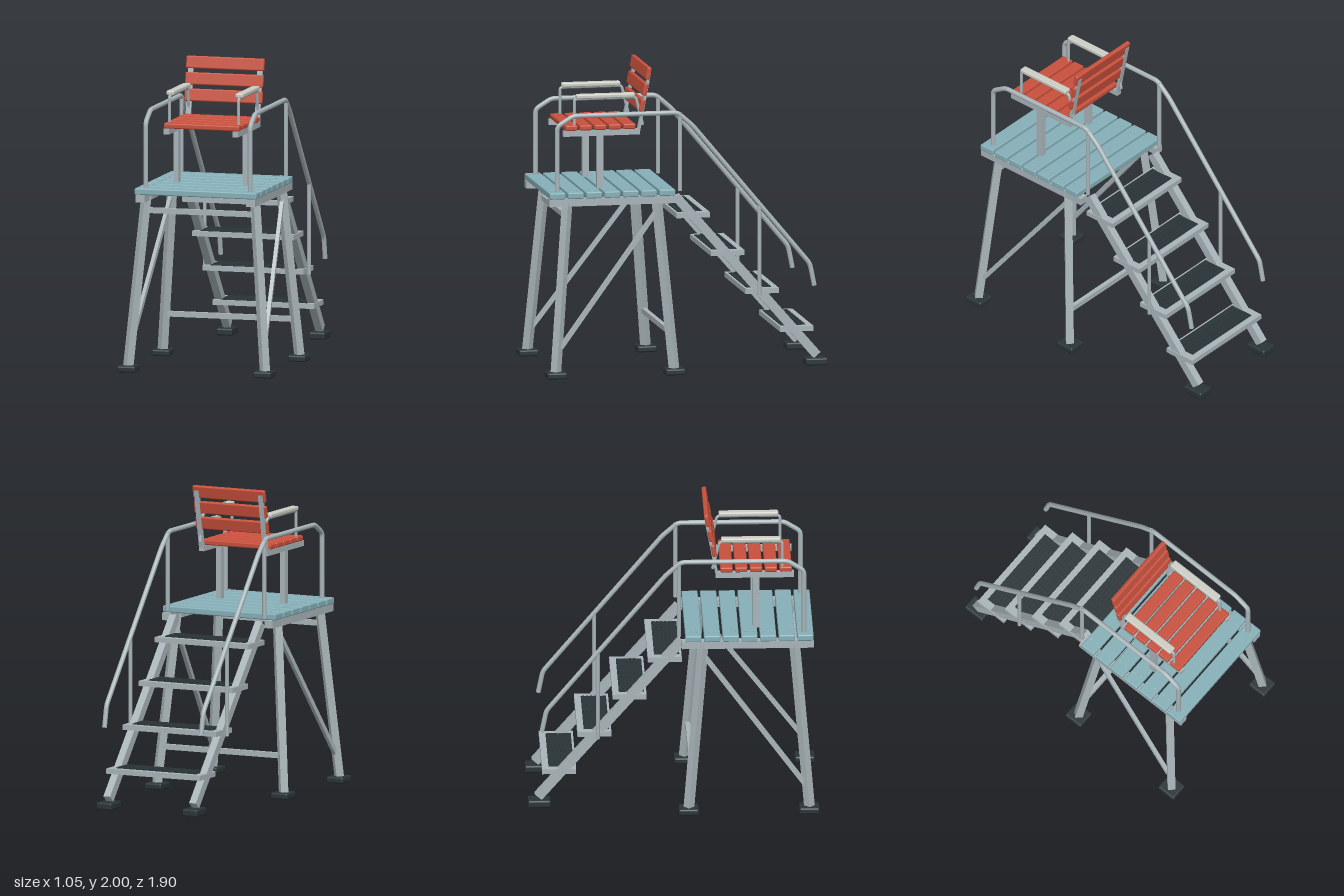
import * as THREE from 'three';
import { RoundedBoxGeometry } from 'three/addons/geometries/RoundedBoxGeometry.js';

const mat = (color) => new THREE.MeshStandardMaterial({ color });
const metal = mat(0xa9b5b9), red = mat(0xc8503c), teal = mat(0x86b0b8);
const rubber = mat(0x2a3438), padMat = mat(0xcccdc5);
const V = (x, y, z) => new THREE.Vector3(x, y, z);

export function createModel() {
  const root = new THREE.Group();
  const group = (name) => {
    const g = new THREE.Group();
    g.name = name;
    root.add(g);
    return g;
  };
  const add = (parent, name, geo, material, x = 0, y = 0, z = 0) => {
    const m = new THREE.Mesh(geo, material);
    m.name = name;
    m.position.set(x, y, z);
    parent.add(m);
    return m;
  };
  const box = (p, name, w, h, d, x, y, z, material = metal) =>
    add(p, name, new THREE.BoxGeometry(w, h, d), material, x, y, z);
  const soft = (p, name, w, h, d, x, y, z, material, r = 0.008) =>
    add(p, name, new RoundedBoxGeometry(w, h, d, 2, r), material, x, y, z);

  // Straight bar of rectangular section between two points
  const beam = (p, name, a, b, w, h) => {
    const c = a.clone().lerp(b, 0.5);
    const m = box(p, name, w, h, a.distanceTo(b), c.x, c.y, c.z);
    m.lookAt(b);
    return m;
  };

  // Bent tube through [z, y] points in the plane at x, with rounded corners and closed ends
  const pipe = (p, name, x, zy, r, bend) => {
    const pts = zy.map(([z, y]) => V(x, y, z));
    const path = new THREE.CurvePath();
    const toward = (a, b) => a.clone().add(b.clone().sub(a).setLength(bend));
    let from = pts[0];
    for (let i = 1; i < pts.length - 1; i++) {
      const start = toward(pts[i], pts[i - 1]), end = toward(pts[i], pts[i + 1]);
      path.add(new THREE.LineCurve3(from, start));
      path.add(new THREE.QuadraticBezierCurve3(start, pts[i], end));
      from = end;
    }
    path.add(new THREE.LineCurve3(from, pts.at(-1)));
    const steps = pts.length > 2 ? 140 : 1;
    add(p, name, new THREE.TubeGeometry(path, steps, r, 12, false), metal);
    for (const [end, next] of [[pts[0], pts[1]], [pts.at(-1), pts.at(-2)]]) {
      const cap = add(p, name + 'Cap', new THREE.CircleGeometry(r, 12), metal, end.x, end.y, end.z);
      cap.lookAt(end.clone().multiplyScalar(2).sub(next));
    }
  };

  // Platform planks with bolt heads, on two side beams
  const platform = group('platform');
  for (let i = 0; i < 7; i++) {
    const z = 0.861 - i * 0.1217;
    soft(platform, 'plank', 0.83, 0.042, 0.106, 0, 1.194, z, teal);
    for (const x of [-0.34, 0.34])
      for (const dz of [-0.025, 0.025])
        add(platform, 'bolt', new THREE.CylinderGeometry(0.006, 0.006, 0.008, 8), metal, x, 1.217, z + dz);
  }
  for (const s of [-1, 1]) box(platform, 'sideBeam', 0.06, 0.05, 0.86, s * 0.375, 1.148, 0.485);

  // Splayed legs, feet and diagonal braces
  const base = group('base');
  for (const s of [-1, 1]) {
    for (const [footZ, topZ] of [[0.885, 0.79], [0.098, 0.195]]) {
      beam(base, 'leg', V(s * 0.465, 0.035, footZ), V(s * 0.37, 1.15, topZ), 0.05, 0.05);
      soft(base, 'foot', 0.122, 0.042, 0.132, s * 0.463, 0.024, footZ - 0.001, rubber, 0.012);
    }
    beam(base, 'diagonalBrace', V(s * 0.452, 0.2, 0.85), V(s * 0.377, 1.08, 0.19), 0.025, 0.03);
  }
  box(base, 'frontCrossbar', 0.71, 0.035, 0.03, 0, 1.058, 0.797);
  box(base, 'backCrossbar', 0.84, 0.035, 0.03, 0, 0.28, 0.12);

  // Stairs: stringers, feet and treads with ribbed mats
  const stairs = group('stairs');
  for (const s of [-1, 1]) {
    beam(stairs, 'stringer', V(s * 0.315, 1.15, 0.055), V(s * 0.315, 0.075, -0.88), 0.05, 0.06);
    soft(stairs, 'stairFoot', 0.11, 0.048, 0.15, s * 0.315, 0.035, -0.873, rubber, 0.012);
  }
  for (let i = 0; i < 4; i++) {
    const y = 1.028 - i * 0.258, z = -0.055 - i * 0.2295;
    box(stairs, 'tread', 0.69, 0.034, 0.222, 0, y, z);
    box(stairs, 'treadMat', 0.586, 0.006, 0.165, 0, y + 0.018, z + 0.014, rubber);
    for (let k = 0; k < 5; k++)
      box(stairs, 'treadRib', 0.57, 0.006, 0.014, 0, y + 0.023, z + 0.05 - k * 0.026, rubber);
  }

  // Handrails with their posts
  const rails = group('handrails');
  for (const s of [-1, 1]) {
    const x = s * 0.355;
    pipe(rails, 'handrail', x, [[0.853, 1.2], [0.853, 1.645], [0.746, 1.712], [0.053, 1.712],
      [-0.048, 1.623], [-0.828, 0.685], [-0.857, 0.54]], 0.016, 0.025);
    pipe(rails, 'platformRailPost', x, [[0.037, 1.195], [0.037, 1.71]], 0.014, 0);
    pipe(rails, 'stairRailPost', x, [[-0.492, 0.485], [-0.492, 1.085]], 0.013, 0);
  }

  // Chair: posts, seat rails, backrest uprights and armrests
  const chair = group('chair');
  for (const s of [-1, 1]) {
    const x = s * 0.235;
    box(chair, 'seatPost', 0.036, 0.36, 0.044, x, 1.39, 0.545);
    box(chair, 'seatRail', 0.036, 0.038, 0.51, x, 1.578, 0.535);
    beam(chair, 'backUpright', V(x, 1.565, 0.292), V(x, 1.97, 0.215), 0.034, 0.018);
    pipe(chair, 'armTube', x, [[0.715, 1.58], [0.715, 1.803], [0.305, 1.803], [0.26, 1.62]], 0.01, 0.02);
    soft(chair, 'armPad', 0.054, 0.03, 0.39, x, 1.82, 0.51, padMat, 0.01);
  }

  // Seat and backrest slats
  for (let i = 0; i < 5; i++)
    soft(chair, 'seatSlat', 0.515, 0.035, 0.082, 0, 1.614, 0.737 - i * 0.0965, red, 0.009);
  for (let i = 0; i < 3; i++) {
    const slat = soft(chair, 'backSlat', 0.53, 0.082, 0.03, 0, 1.75 + i * 0.105, 0.267 - i * 0.021, red, 0.009);
    slat.rotation.x = -0.19;
  }
  return root;
}
